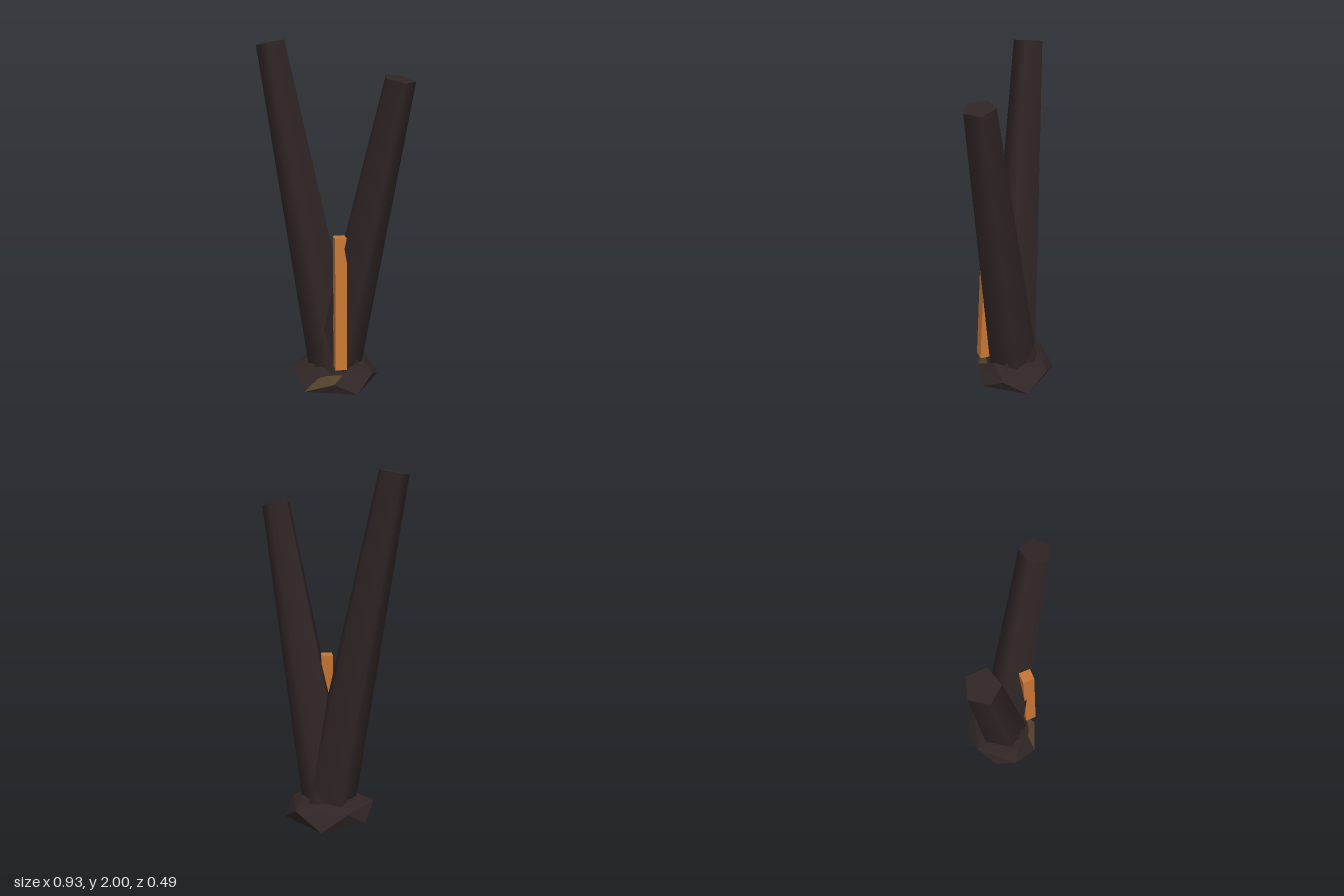
import * as THREE from 'three';

const V = (x, y, z) => new THREE.Vector3(x, y, z);

function paint(name, color, flat = false) {
  const m = new THREE.MeshStandardMaterial({ color, flatShading: flat });
  m.name = name;
  return m;
}

// Flat-faced mesh from a list of triangles, three points each
function facets(name, points, material) {
  const geo = new THREE.BufferGeometry().setFromPoints(points);
  geo.computeVertexNormals();
  const mesh = new THREE.Mesh(geo, material);
  mesh.name = name;
  return mesh;
}

// Stand a geometry of height 'from-to' along the line between two points
function along(name, geo, from, to, material) {
  const mesh = new THREE.Mesh(geo, material);
  mesh.name = name;
  mesh.position.copy(from).lerp(to, 0.5);
  mesh.quaternion.setFromUnitVectors(V(0, 1, 0), to.clone().sub(from).normalize());
  return mesh;
}

export function createModel() {
  const group = new THREE.Group();
  const bark = paint('dark bark', 0x302525);
  const rock = paint('dark root', 0x302525, true);
  const moss = paint('brown patch', 0x54402b, true);
  const orange = paint('orange wood', 0xc87534, true);

  // Two tapering five-sided trunks spreading from the base
  const trunk = (name, from, to, r0, r1, turn) => {
    const geo = new THREE.CylinderGeometry(r1, r0, from.distanceTo(to), 5, 1, false, turn);
    group.add(along(name, geo, from, to, bark));
  };
  trunk('rightTrunk', V(-0.005, 0.08, 0), V(-0.395, 1.985, -0.003), 0.16, 0.085, Math.PI / 2);
  trunk('leftTrunk', V(-0.005, 0.08, 0), V(0.388, 1.827, 0.072), 0.156, 0.085, THREE.MathUtils.degToRad(114));

  // Faceted base: foot, rim and shoulder rings of five points
  const foot = [V(0.2, 0, 0.14), V(-0.095, 0, 0.24), V(-0.25, 0, 0), V(-0.095, 0, -0.243), V(0.215, 0, -0.145)];
  const rim = [V(0.24, 0.08, 0), V(0.08, 0.065, 0.2), V(-0.235, 0.09, 0.14), V(-0.205, 0.09, -0.13), V(0.08, 0.09, -0.235)];
  const shoulder = foot.map((p, i) => {
    const a = THREE.MathUtils.degToRad(36 + 72 * i);
    return V(0.15 * Math.cos(a), 0.122, 0.15 * Math.sin(a));
  });
  const tris = [];
  for (let i = 0; i < 5; i++) {
    const j = (i + 1) % 5;
    tris.push(rim[i], rim[j], foot[i]);
    tris.push(foot[i], rim[j], foot[j]);
    tris.push(rim[i], shoulder[i], rim[j]);
    tris.push(shoulder[i], shoulder[j], rim[j]);
    tris.push(shoulder[i], V(0, 0.14, 0), shoulder[j]);
    tris.push(foot[i], foot[j], V(0, 0, 0));
  }
  group.add(facets('base', tris, rock));

  // Brown patch lying on the front facets
  const mix = (a, b, t) => a.clone().lerp(b, t);
  const c = rim[1];
  const m = mix(rim[2], c, 0.65);
  const n = mix(shoulder[1], c, 0.5);
  const p = mix(c, shoulder[0], 0.6);
  const patch = facets('basePatch', [c, m, foot[1], c, n, m, p, n, c], moss);
  patch.position.set(0, 0.003, 0.002);
  group.add(patch);

  // Leaning orange stick at the front
  const low = V(0.097, 0.162, 0.157), high = V(0.077, 0.95, 0.12);
  const box = new THREE.BoxGeometry(0.066, low.distanceTo(high), 0.07);
  box.rotateY(THREE.MathUtils.degToRad(35));
  group.add(along('stick', box, low, high, orange));

  return group;
}
